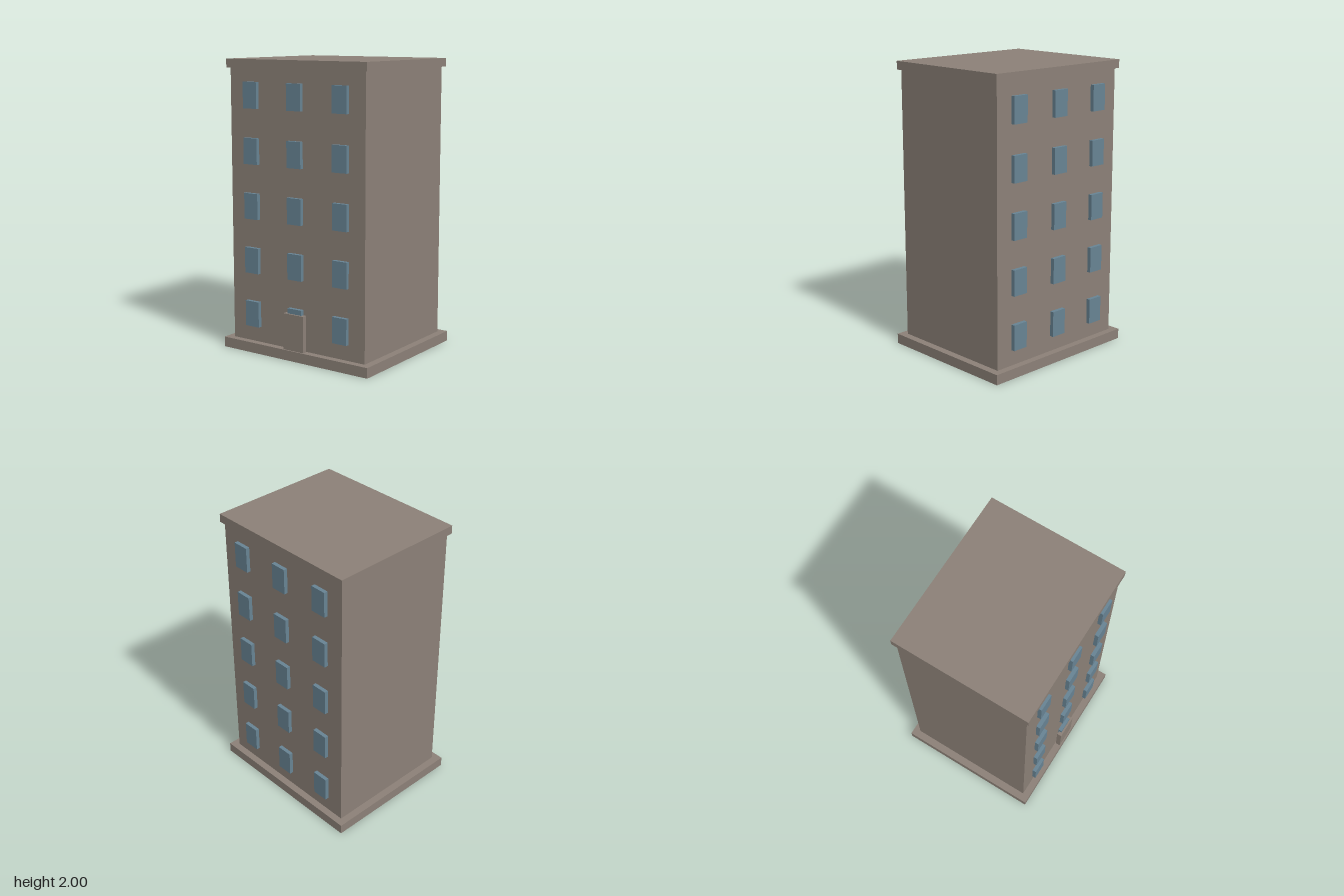
import * as THREE from 'three';

export function createModel() {
  const building = new THREE.Group();
  building.name = 'apartmentBuilding';
  const stone = new THREE.MeshStandardMaterial({ color: 0x8b8077 });
  stone.name = 'stone';
  const glass = new THREE.MeshStandardMaterial({ color: 0x678393 });
  glass.name = 'glass';

  // Box placed by its centre, standing on height y
  function addBox(name, material, [w, h, d], [x, y, z]) {
    const mesh = new THREE.Mesh(new THREE.BoxGeometry(w, h, d), material);
    mesh.name = name;
    mesh.position.set(x, y + h / 2, z);
    building.add(mesh);
  }

  // Main masses
  addBox('plinth', stone, [1.2, 0.07, 1.024], [0, 0, 0]);
  addBox('walls', stone, [1.096, 1.872, 0.926], [0, 0.07, 0]);
  addBox('roofSlab', stone, [1.136, 0.058, 0.968], [0, 1.942, 0]);

  // Front door panel
  addBox('door', stone, [0.164, 0.25, 0.034], [0, 0.07, 0.486]);

  // Five floors of three windows, front and back
  for (const side of [1, -1]) {
    for (let floor = 0; floor < 5; floor++) {
      for (const column of [-1, 0, 1]) {
        addBox(side > 0 ? 'frontWindow' : 'backWindow', glass,
          [0.114, 0.177, 0.027], [column * 0.365, 0.178 + floor * 0.374, side * 0.4765]);
      }
    }
  }
  return building;
}
